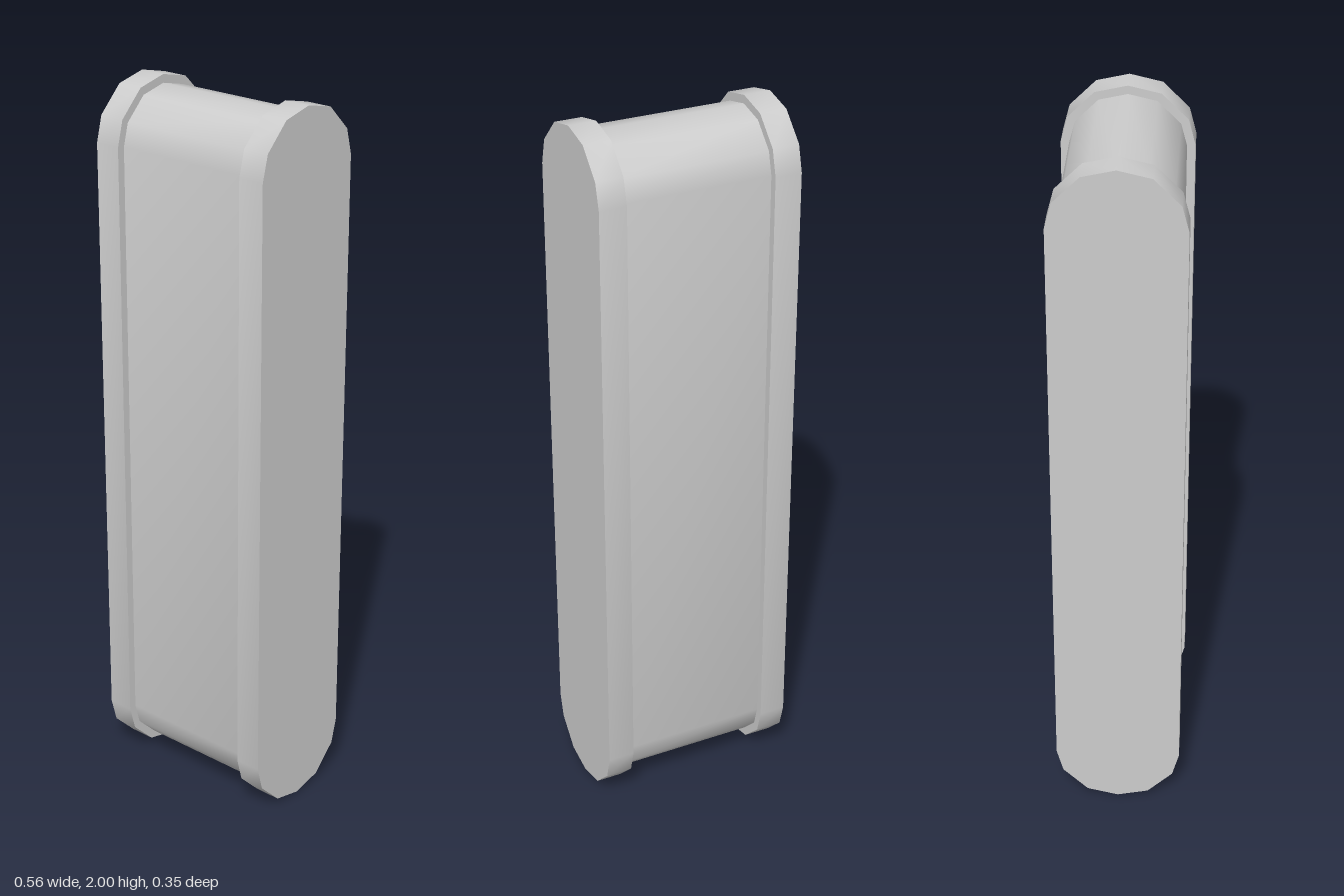
import * as THREE from 'three';
import { toCreasedNormals } from 'three/addons/utils/BufferGeometryUtils.js';

// One rounded corner of the upright capsule outline: [fraction of half width, drop from the tip]
const CORNER = [[0, 0], [0.495, 0.02], [0.895, 0.09], [1, 0.16]];

// Capsule outline with faceted ends, centred on the origin
function capsule(halfWidth, halfHeight) {
  const k = halfWidth / 0.175;
  const quarter = CORNER.map(([u, d]) => new THREE.Vector2(u * halfWidth, halfHeight - d * k));
  const right = [...quarter, ...quarter.slice().reverse().map(p => new THREE.Vector2(p.x, -p.y))];
  const left = right.slice(1, -1).reverse().map(p => new THREE.Vector2(-p.x, p.y));
  return new THREE.Shape([...right, ...left]);
}

// Capsule prism running along x, with smooth sides and sharp rims
function prism(name, halfWidth, halfHeight, x0, x1, material) {
  const geometry = new THREE.ExtrudeGeometry(capsule(halfWidth, halfHeight), {
    depth: x1 - x0, bevelEnabled: false,
  });
  geometry.rotateY(Math.PI / 2);
  const mesh = new THREE.Mesh(toCreasedNormals(geometry, 0.8), material);
  mesh.name = name;
  mesh.position.set(x0, 1, 0);
  return mesh;
}

export function createModel() {
  const group = new THREE.Group();
  group.name = 'flangedCapsule';
  const grey = new THREE.MeshStandardMaterial({ color: 0xcccccc });

  // Narrower body between the two end flanges
  group.add(prism('body', 0.153, 0.977, -0.205, 0.205, grey));
  group.add(prism('leftFlange', 0.175, 1, 0.205, 0.28, grey));
  group.add(prism('rightFlange', 0.175, 1, -0.28, -0.205, grey));
  return group;
}
